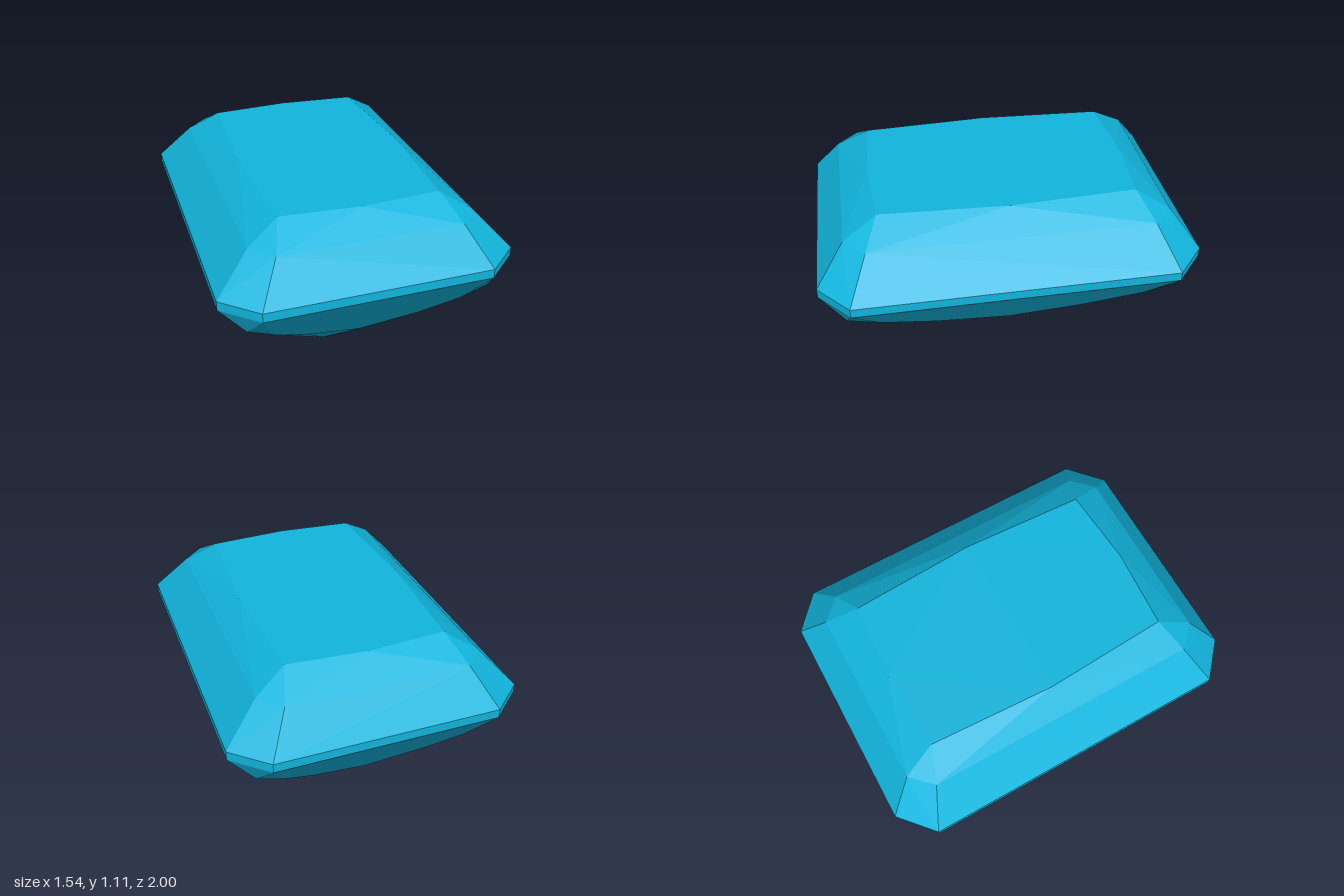
import * as THREE from 'three';
import { ConvexGeometry } from 'three/addons/geometries/ConvexGeometry.js';

// Facet corners of one quarter of the stone (x >= 0, z >= 0)
const quarter = [
  // table
  [0, 1.105, 0.70], [0.42, 1.105, 0.67], [0.455, 1.105, 0],
  // crown break
  [0.48, 1.0, 0.85], [0.59, 1.0, 0.74],
  // girdle, upper and lower edge
  [0.59, 0.805, 1.0], [0.77, 0.805, 0.84],
  [0.59, 0.755, 1.0], [0.77, 0.755, 0.84],
  // pavilion: corner, end and side facets
  [0.64, 0.62, 0.87],
  [0.50, 0.55, 0.845], [0.31, 0.45, 0.77], [0, 0.37, 0.71],
  [0.63, 0.57, 0.70], [0.54, 0.45, 0.40], [0.48, 0.37, 0],
  // keel
  [0.08, 0.05, 0.335], [0, 0, 0.275],
];

// Mirror the quarter across both axes, skipping points that lie on an axis
function mirrorPoints(points) {
  const out = [];
  for (const [x, y, z] of points) {
    for (const sx of x ? [1, -1] : [1]) {
      for (const sz of z ? [1, -1] : [1]) {
        out.push(new THREE.Vector3(sx * x, y, sz * z));
      }
    }
  }
  return out;
}

export function createModel() {
  const group = new THREE.Group();
  group.name = 'gem';

  // Cut stone: the convex hull gives the flat facets
  const material = new THREE.MeshStandardMaterial({ color: 0x11b5dd, flatShading: true });
  const stone = new THREE.Mesh(new ConvexGeometry(mirrorPoints(quarter)), material);
  stone.name = 'cutStone';
  group.add(stone);

  return group;
}
